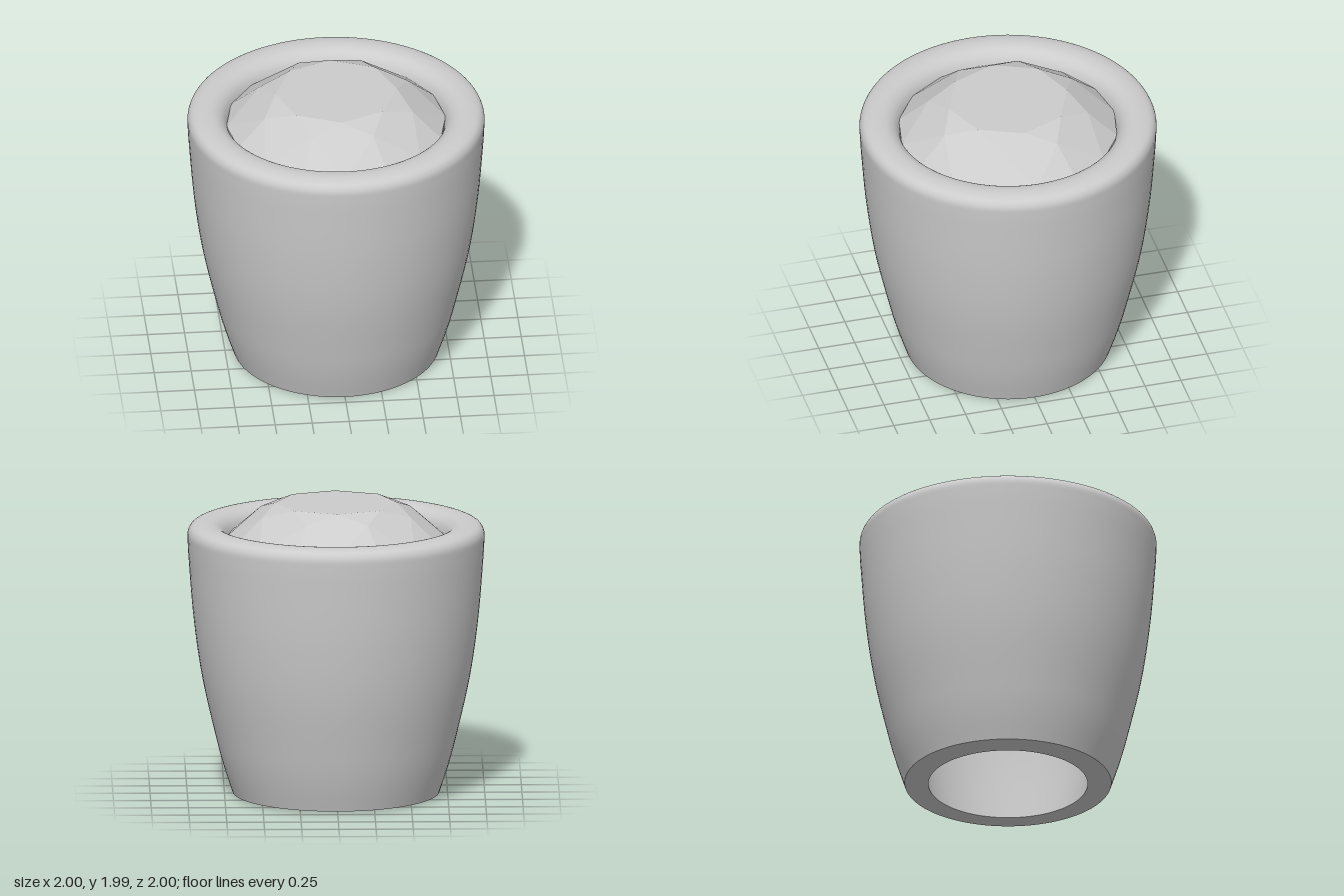
import * as THREE from 'three';
import { ConvexGeometry } from 'three/addons/geometries/ConvexGeometry.js';

const SEGMENTS = 96;

function spline(points, divisions) {
  return new THREE.SplineCurve(points.map(([r, y]) => new THREE.Vector2(r, y))).getPoints(divisions);
}

// Ring of points around the y axis
function ring(count, radius, y, offset = 0) {
  return Array.from({ length: count }, (_, i) => {
    const a = offset + (i / count) * Math.PI * 2;
    return new THREE.Vector3(radius * Math.cos(a), y, radius * Math.sin(a));
  });
}

export function createModel() {
  const group = new THREE.Group();
  const material = new THREE.MeshStandardMaterial({ color: 0xcccccc, side: THREE.DoubleSide });
  const gemMaterial = new THREE.MeshStandardMaterial({ color: 0xcccccc, flatShading: true });

  const add = (name, geometry, mat = material) => {
    const mesh = new THREE.Mesh(geometry, mat);
    mesh.name = name;
    group.add(mesh);
  };

  // Cup: bulging outer wall, rounded rim, then the inner wall down to the base
  const wall = [
    ...spline([[0.695, 0.01], [0.757, 0.2], [0.81, 0.4], [0.9, 0.8], [0.957, 1.2], [0.99, 1.6], [0.998, 1.74]], 32),
    ...spline([[0.998, 1.74], [0.997, 1.79], [0.975, 1.83], [0.93, 1.85], [0.87, 1.856],
      [0.81, 1.845], [0.762, 1.81], [0.735, 1.76], [0.724, 1.71]], 32).slice(1),
    ...spline([[0.724, 1.71], [0.715, 1.5], [0.69, 1.2], [0.655, 0.8], [0.605, 0.4], [0.535, 0]], 20).slice(1),
  ];
  add('cupWall', new THREE.LatheGeometry(wall, SEGMENTS));

  // Flat underside ring with a slight rise at its outer edge
  const base = [[0.535, 0], [0.6, 0], [0.695, 0.01]].map(([r, y]) => new THREE.Vector2(r, y));
  add('baseRing', new THREE.LatheGeometry(base, SEGMENTS));

  // Round brilliant gem: table, star and kite facets, girdle, pavilion
  const table = { r: 0.41, y: 1.99 }, girdle = { r: 0.74, y: 1.756 };
  const half = Math.PI / 8;
  const starR = 0.54, lowerR = 0.17, culetY = 1.13, girdleBottom = 1.73;
  // Heights chosen so the kite and pavilion main facets are planar
  const starY = THREE.MathUtils.mapLinear(starR * Math.cos(half), table.r, girdle.r, table.y, girdle.y);
  const lowerY = THREE.MathUtils.mapLinear(lowerR * Math.cos(half), 0, girdle.r, culetY, girdleBottom);
  add('gem', new ConvexGeometry([
    ...ring(8, table.r, table.y),
    ...ring(8, starR, starY, half),
    ...ring(16, girdle.r, girdle.y),
    ...ring(16, girdle.r, girdleBottom),
    ...ring(8, lowerR, lowerY, half),
    new THREE.Vector3(0, culetY, 0),
  ]), gemMaterial);

  return group;
}
